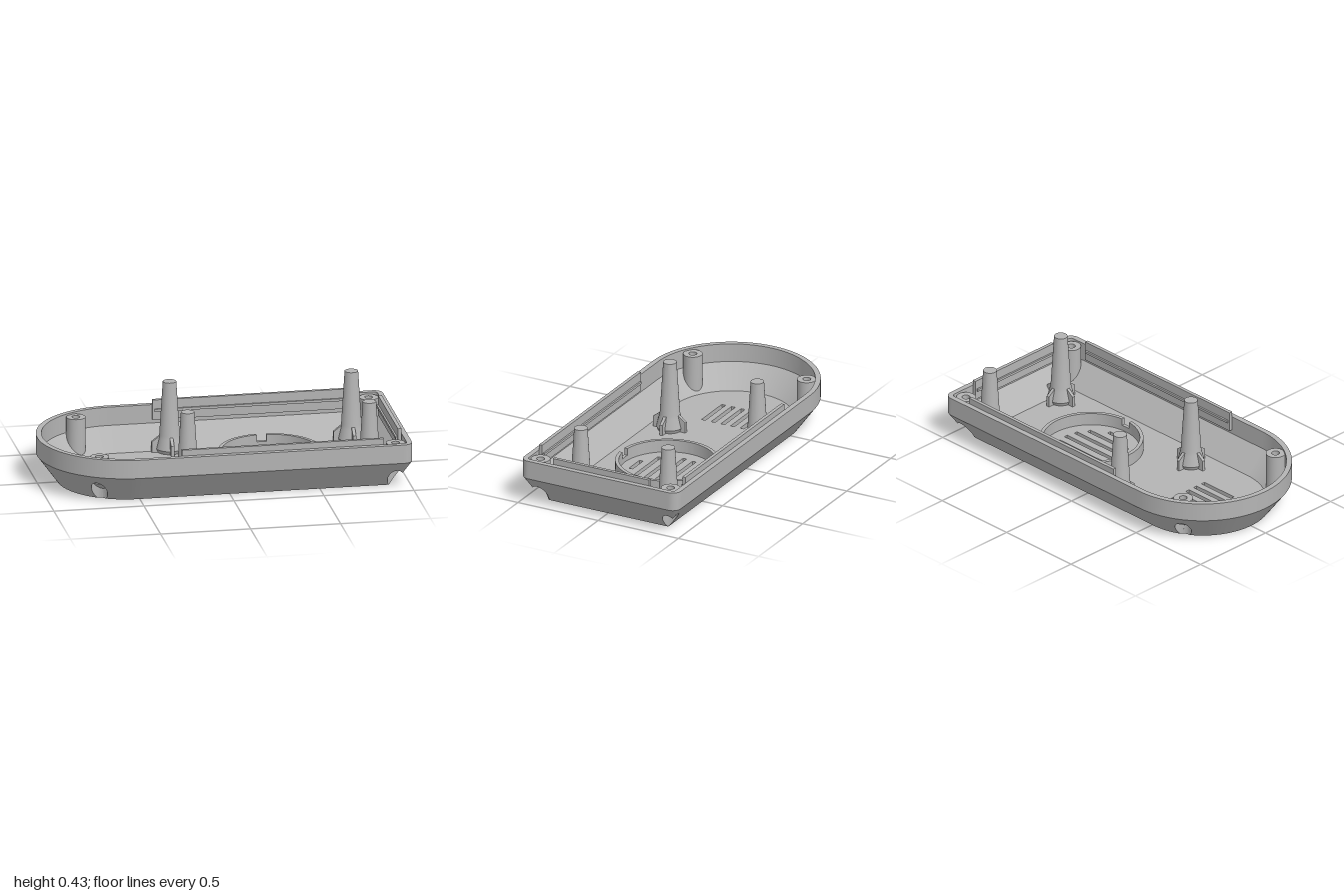
import * as THREE from 'three';
import { toCreasedNormals } from 'three/addons/utils/BufferGeometryUtils.js';

const W = 0.488, CX = -0.512, SLOPE = 0.113, SHOULDER = 0.155, RIM = 0.26, FLOOR = 0.03, WALL = 0.03;
const RECESS = 0.045, RECESS_TOP = 0.105;
const SCREWS = [[-0.72, 0.355], [-0.72, -0.355], [0.915, 0.405], [0.915, -0.405]];

// D-shaped plan outline, offset inwards; always the same number of [x, z] points
function outline(inset) {
  const w = W - inset, e = 1 - inset, r = Math.max(0.05 - inset, 0.001), pts = [];
  const line = (x0, z0, x1, z1, n) => {
    for (let i = 0; i < n; i++) pts.push([x0 + (x1 - x0) * i / n, z0 + (z1 - z0) * i / n]);
  };
  const arc = (x, z, rad, a0, a1, n) => {
    for (let i = 0; i < n; i++) {
      const a = a0 + (a1 - a0) * i / n;
      pts.push([x + rad * Math.cos(a), z + rad * Math.sin(a)]);
    }
  };
  const q = Math.PI / 2;
  line(e, -w + r, e, w - r, 60);
  arc(e - r, w - r, r, 0, q, 8);
  line(e - r, w, CX, w, 100);
  arc(CX, 0, w, q, 3 * q, 120);
  line(CX, -w, e - r, -w, 100);
  arc(e - r, -w + r, r, 3 * q, 4 * q, 8);
  return pts;
}

// Height of the sloping underside above a plan position
function hullY(x, z) {
  const d = x < CX ? W - Math.hypot(x - CX, z) : Math.min(W - Math.abs(z), 1 - x);
  return THREE.MathUtils.clamp(SHOULDER * (1 - d / SLOPE), 0, SHOULDER);
}

// Moves a plan point lying in a screw recess out to the recess edge
function pushOut([x, z]) {
  for (const [cx, cz] of SCREWS) {
    const d = Math.hypot(x - cx, z - cz);
    if (d < RECESS) {
      const k = RECESS / Math.max(d, 1e-5);
      return [cx + (x - cx) * k, cz + (z - cz) * k, true];
    }
  }
  return [x, z, false];
}

function geometryFrom(positions) {
  const g = new THREE.BufferGeometry();
  g.setAttribute('position', new THREE.Float32BufferAttribute(positions, 3));
  return toCreasedNormals(g, 0.5);
}

// Skins closed loops of [x, y, z, skip]; triangles wholly marked skip are left out
function skin(rows) {
  const pos = [];
  const tri = (...c) => { if (!c.every(p => p[3])) c.forEach(p => pos.push(p[0], p[1], p[2])); };
  for (let j = 0; j + 1 < rows.length; j++) {
    const n = rows[j].length;
    for (let i = 0; i < n; i++) {
      const k = (i + 1) % n;
      tri(rows[j][i], rows[j + 1][i], rows[j][k]);
      tri(rows[j][k], rows[j + 1][i], rows[j + 1][k]);
    }
  }
  return geometryFrom(pos);
}

// Circle of points whose height may follow the hull
function circle(cx, cz, r, y) {
  return Array.from({ length: 32 }, (_, i) => {
    const a = i / 32 * Math.PI * 2, x = cx + r * Math.cos(a), z = cz + r * Math.sin(a);
    return [x, typeof y === 'function' ? y(x, z) : y, z];
  });
}

export function createModel() {
  const group = new THREE.Group();
  const grey = new THREE.MeshStandardMaterial({ color: 0xb4b4b4, side: THREE.DoubleSide });
  grey.name = 'plastic grey';
  const add = (name, geometry, x = 0, y = 0, z = 0) => {
    const m = new THREE.Mesh(geometry, grey);
    m.name = name;
    m.position.set(x, y, z);
    group.add(m);
    return m;
  };
  const box = (name, sx, sy, sz, x, y, z) => add(name, new THREE.BoxGeometry(sx, sy, sz), x, y, z);

  // Sloping underside with recess openings
  const rows = [];
  for (let j = 0; j <= 12; j++) {
    const inset = SLOPE * (1 - j / 12);
    rows.push(outline(inset).map(p => {
      const [x, z, cut] = pushOut(p);
      return [x, cut ? hullY(x, z) : SHOULDER * j / 12, z, cut];
    }));
  }
  add('slopedUnderside', skin(rows));

  // Upright wall, rim and inner lining
  const profile = [[0, SHOULDER], [0, RIM], [WALL, RIM], [WALL, SHOULDER], [SLOPE + WALL, FLOOR]];
  add('wall', skin(profile.map(([inset, y]) => outline(inset).map(([x, z]) => [x, y, z]))));

  // Floor with two vent grilles
  const floor = new THREE.Shape(outline(SLOPE).map(pushOut).map(([x, z]) => new THREE.Vector2(x, -z)));
  const slot = (x0, x1, z, h) => floor.holes.push(new THREE.Path([
    new THREE.Vector2(x0, -z - h), new THREE.Vector2(x0, -z + h),
    new THREE.Vector2(x1, -z + h), new THREE.Vector2(x1, -z - h)]));
  for (let i = -2; i <= 2; i++) slot(-0.63, -0.4, -0.007 + i * 0.06, 0.012);
  const SX = 0.303, SZ = -0.048;
  const halfLengths = [0.198, 0.188, 0.15, 0.06];
  for (let i = -3; i <= 3; i++) {
    const h = halfLengths[Math.abs(i)];
    slot(SX - h, SX + h, SZ + i * 0.065, 0.011);
  }
  add('ventedFloor', new THREE.ExtrudeGeometry(floor, { depth: FLOOR, bevelEnabled: false }).rotateX(-Math.PI / 2));

  // Speaker ring: a low full ring with taller sections between notches
  const ring = (name, a0, a1, height) => {
    const s = new THREE.Shape();
    s.absarc(0, 0, 0.285, a0, a1, false);
    s.absarc(0, 0, 0.265, a1, a0, true);
    const g = new THREE.ExtrudeGeometry(s, { depth: height, bevelEnabled: false, curveSegments: 40 });
    add(name, toCreasedNormals(g.rotateX(-Math.PI / 2), 0.5), SX, FLOOR, SZ);
  };
  for (const k of [0, 1]) {
    const a = Math.PI * (k + 0.5);
    ring('speakerRing', a + 0.1, a + Math.PI - 0.1, 0.07);
    ring('speakerRingNotch', a - 0.1, a + 0.1, 0.03);
  }

  // Screw bosses with recesses beneath
  for (const [x, z] of SCREWS) {
    add('screwBoss', skin([
      circle(x, z, 0.053, (px, pz) => Math.max(FLOOR / 2, hullY(px, pz) + 0.005)),
      circle(x, z, 0.053, 0.25), circle(x, z, 0.022, 0.25), circle(x, z, 0.022, RECESS_TOP),
      circle(x, z, RECESS, RECESS_TOP),
      circle(x, z, RECESS, (px, pz) => Math.min(RECESS_TOP, hullY(px, pz)))]));
  }

  // Tapered posts with four fins each
  const post = [[0.066, FLOOR], [0.075, 0.05], [0.06, 0.11], [0.056, 0.13], [0.037, 0.432], [0, 0.432]]
    .map(p => new THREE.Vector2(...p));
  for (const x of [-0.205, 0.805]) for (const z of [-0.33, 0.215]) {
    add('post', toCreasedNormals(new THREE.LatheGeometry(post, 32), 0.3), x, 0, z);
    for (let i = 0; i < 4; i++) {
      const foot = i === 1 && z < -0.3 ? 0.05 : i === 0 && x > 0.8 ? 0.08 : 0.1;
      const s = new THREE.Shape([[0, FLOOR], [foot, FLOOR], [0.1, 0.09], [0.055, 0.125], [0, 0.125]]
        .map(p => new THREE.Vector2(...p)));
      const g = new THREE.ExtrudeGeometry(s, { depth: 0.018, bevelEnabled: false }).translate(0, 0, -0.009);
      add('postFin', g, x, 0, z).rotation.y = i * Math.PI / 2;
    }
  }

  // Locating lips inside the straight walls, each with a snap bead
  for (const s of [-1, 1]) {
    box('sideLip', 1.12, 0.113, 0.02, 0.28, 0.2365, s * 0.447);
    box('sideLipBead', 1.1, 0.014, 0.012, 0.28, 0.235, s * 0.433);
  }
  box('endLip', 0.02, 0.113, 0.6, 0.957, 0.2365, 0);
  box('endLipBead', 0.012, 0.014, 0.58, 0.943, 0.235, 0);

  return group;
}
